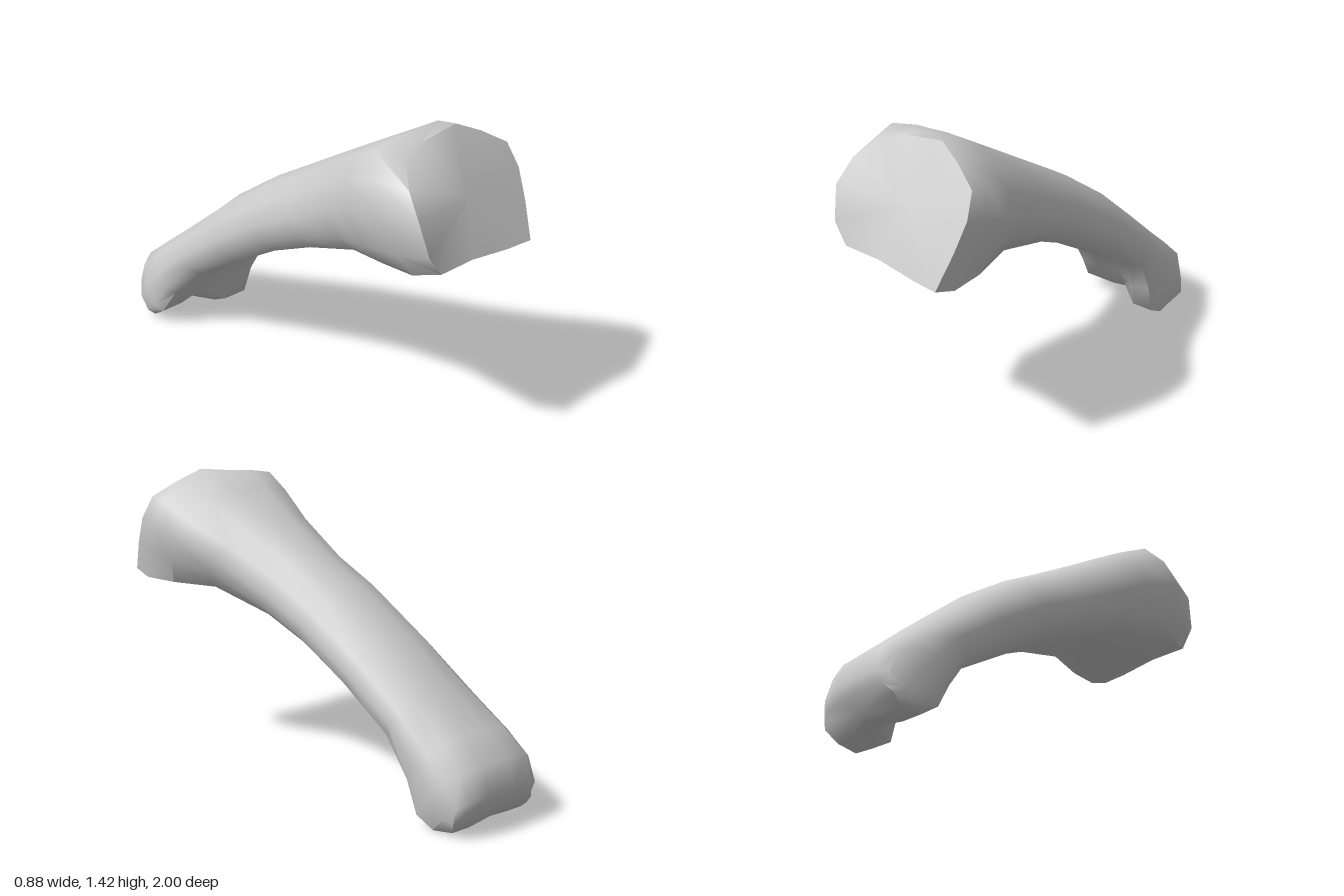
import * as THREE from 'three';
import { toCreasedNormals } from 'three/addons/utils/BufferGeometryUtils.js';

// Outlines as [across -1..1, height 0..1], from the +x side over the top and round.
const HEAD = [
  [1, 0.55], [0.92, 0.76], [0.55, 0.9], [0.2, 1], [-0.4, 0.99], [-0.76, 0.96], [-0.95, 0.8],
  [-1, 0.58], [-0.92, 0.25], [-0.72, 0.05], [-0.15, 0.04], [0.47, 0], [0.87, 0], [0.96, 0.3],
];
const SHAFT = [
  [1, 0.45], [0.9, 0.69], [0.62, 0.89], [0.2, 1], [-0.2, 1], [-0.6, 0.9], [-0.9, 0.7],
  [-1, 0.42], [-0.95, 0.18], [-0.7, 0], [-0.25, 0.02], [0.25, 0.04], [0.75, 0.12], [0.96, 0.27],
];
const TIP = [
  [1, 0.5], [0.9, 0.74], [0.73, 0.92], [0.35, 1], [-0.2, 1], [-0.65, 0.98], [-0.86, 0.85],
  [-1, 0.55], [-1, 0.25], [-0.9, 0.13], [-0.5, 0.15], [-0.03, 0.23], [0.4, 0], [0.84, 0.02],
];
const SIDES = HEAD.length;

// Cross-sections from the broad joint face to the small two-knobbed end.
// top / bottom: [z, y]; x: [min, max]; shape: -1 head, 0 shaft, 1 tip;
// bulge: how far the -x shoulder of the joint face swells forward.
const sections = [
  { top: [0.72, 1.42], bottom: [0.97, 0.92], x: [-0.24, 0.435], shape: -1, bulge: 0.14 },
  { top: [0.64, 1.415], bottom: [0.87, 0.89], x: [-0.31, 0.44], shape: -1, bulge: 0.06 },
  { top: [0.5, 1.335], bottom: [0.71, 0.87], x: [-0.295, 0.41], shape: -0.7 },
  { top: [0.3, 1.22], bottom: [0.5, 0.855], x: [-0.265, 0.32], shape: -0.3 },
  { top: [0.05, 1.075], bottom: [0.2, 0.755], x: [-0.26, 0.235], shape: 0 },
  { top: [-0.15, 0.96], bottom: [-0.02, 0.66], x: [-0.295, 0.2], shape: 0 },
  { top: [-0.43, 0.77], bottom: [-0.3, 0.495], x: [-0.335, 0.165], shape: 0 },
  { top: [-0.68, 0.56], bottom: [-0.54, 0.34], x: [-0.375, 0.135], shape: 0.2 },
  { top: [-0.85, 0.41], bottom: [-0.65, 0.18], x: [-0.425, 0.12], shape: 0.7 },
  { top: [-0.965, 0.31], bottom: [-0.71, 0.045], x: [-0.44, 0.115], shape: 1 },
  { top: [-1.0, 0.19], bottom: [-0.8, 0], x: [-0.44, 0.1], shape: 1 },
  { top: [-0.985, 0.14], bottom: [-0.9, 0.015], x: [-0.41, 0.08], shape: 1 },
];

const { lerp } = THREE.MathUtils;

function ring({ top, bottom, x, shape, bulge = 0 }) {
  const target = shape < 0 ? HEAD : TIP;
  return SHAFT.map(([su, sh], j) => {
    const u = lerp(su, target[j][0], Math.abs(shape));
    const h = lerp(sh, target[j][1], Math.abs(shape));
    const shoulder = bulge * Math.max(0, -u);
    const swell = Math.pow(Math.max(0, Math.sin(Math.PI * (0.15 + 0.85 * h))), 0.3);
    return new THREE.Vector3(
      lerp(x[0], x[1], (u + 1) / 2),
      lerp(bottom[1], top[1], h) - shoulder * 0.35 * h,
      Math.min(1, lerp(bottom[0], top[0], h) + shoulder * swell),
    );
  });
}

// Joins the rings in order and closes both ends with fans.
function loft(rings) {
  const vertices = [];
  const index = [];
  rings.forEach((r) => r.forEach((p) => vertices.push(p.x, p.y, p.z)));
  const addCentre = (r) => {
    const m = r.reduce((sum, p) => sum.add(p), new THREE.Vector3()).divideScalar(SIDES);
    vertices.push(m.x, m.y, m.z);
    return vertices.length / 3 - 1;
  };
  const front = addCentre(rings[0]);
  const back = addCentre(rings[rings.length - 1]);
  const last = (rings.length - 1) * SIDES;
  for (let j = 0; j < SIDES; j++) {
    const k = (j + 1) % SIDES;
    for (let i = 0; i < last; i += SIDES) {
      const a = i + j, b = i + k, c = a + SIDES, d = b + SIDES;
      index.push(a, c, b, b, c, d);
    }
    index.push(front, j, k, back, last + k, last + j);
  }
  const geometry = new THREE.BufferGeometry();
  geometry.setAttribute('position', new THREE.Float32BufferAttribute(vertices, 3));
  geometry.setIndex(index);
  return toCreasedNormals(geometry, 0.95);
}

export function createModel() {
  const group = new THREE.Group();
  group.name = 'fingerBone';
  const material = new THREE.MeshStandardMaterial({ color: 0xcccccc });
  const bone = new THREE.Mesh(loft(sections.map(ring)), material);
  bone.name = 'boneShaftAndJoints';
  group.add(bone);
  return group;
}
